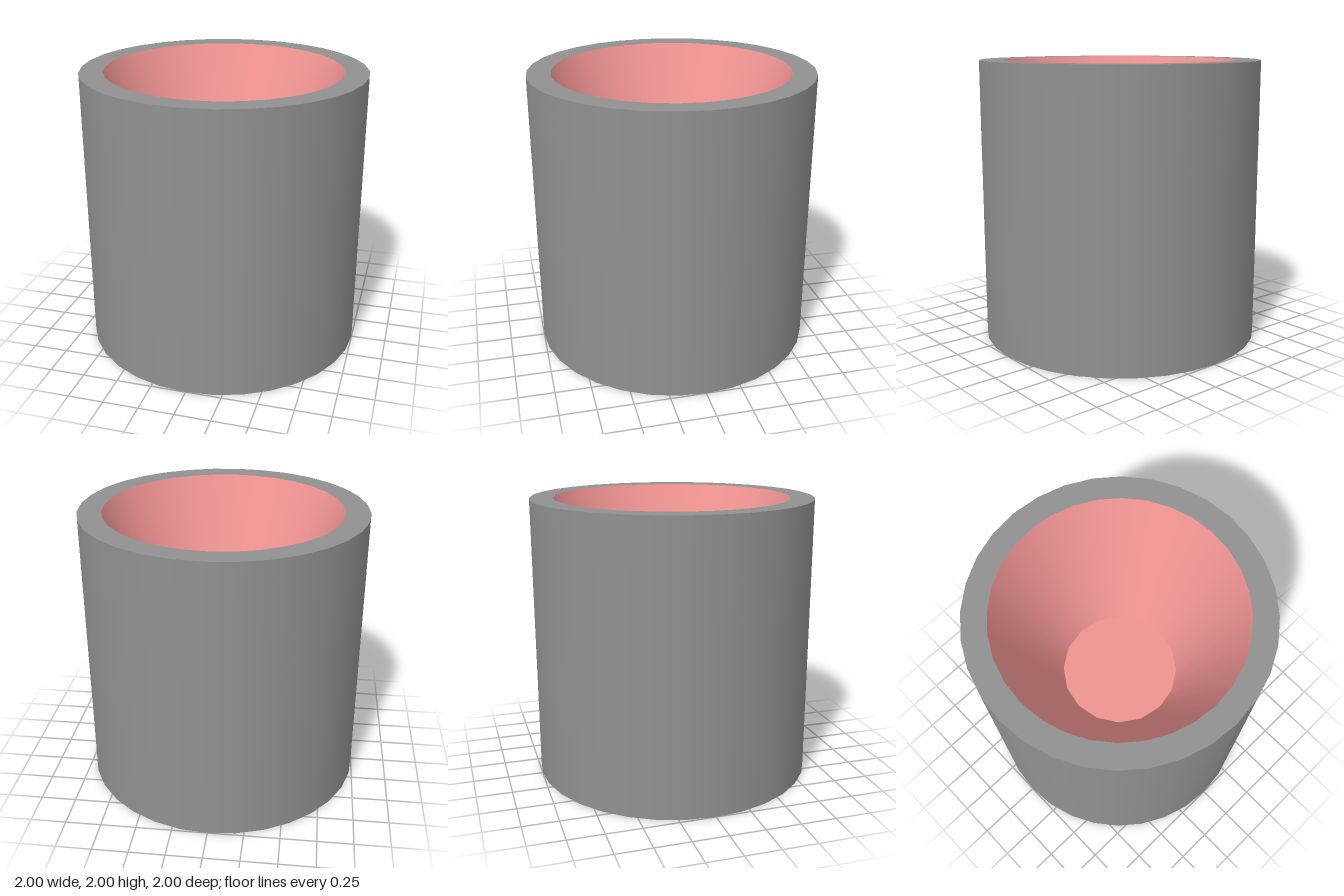
import * as THREE from 'three';

const SIDES = 32;
const RIM = 0.833, FLOOR_R = 0.416, FLOOR_Y = 1;

const grey = new THREE.MeshStandardMaterial({ color: 0x919191 });
const pink = new THREE.MeshStandardMaterial({ color: 0xf09492 });

export function createModel() {
  const group = new THREE.Group();
  const add = (name, geometry, material, y = 0) => {
    const mesh = new THREE.Mesh(geometry, material);
    mesh.name = name;
    mesh.position.y = y;
    group.add(mesh);
  };
  const lathe = (...pts) =>
    new THREE.LatheGeometry(pts.map(([r, y]) => new THREE.Vector2(r, y)), SIDES);

  // Straight outer wall
  add('outerWall', lathe([1, 0], [1, 2]), grey);

  // Flat rim and closed underside
  add('rim', new THREE.RingGeometry(RIM, 1, SIDES).rotateX(-Math.PI / 2), grey, 2);
  add('underside', new THREE.CircleGeometry(1, SIDES).rotateX(Math.PI / 2), grey);

  // Tapered cavity: 32 sides at the rim, narrowing to 16 at the floor
  const cavity = lathe([RIM, 2], [FLOOR_R, FLOOR_Y]);
  const pos = cavity.attributes.position;
  const pull = Math.cos(Math.PI / 16);
  for (let i = 1; i < SIDES; i += 2) {
    const v = i * 2 + 1; // lower vertex of each odd column
    pos.setXYZ(v, pos.getX(v) * pull, pos.getY(v), pos.getZ(v) * pull);
  }
  add('cavityWall', cavity, pink);
  add('cavityFloor', new THREE.CircleGeometry(FLOOR_R, 16).rotateX(-Math.PI / 2), pink, FLOOR_Y);

  return group;
}
